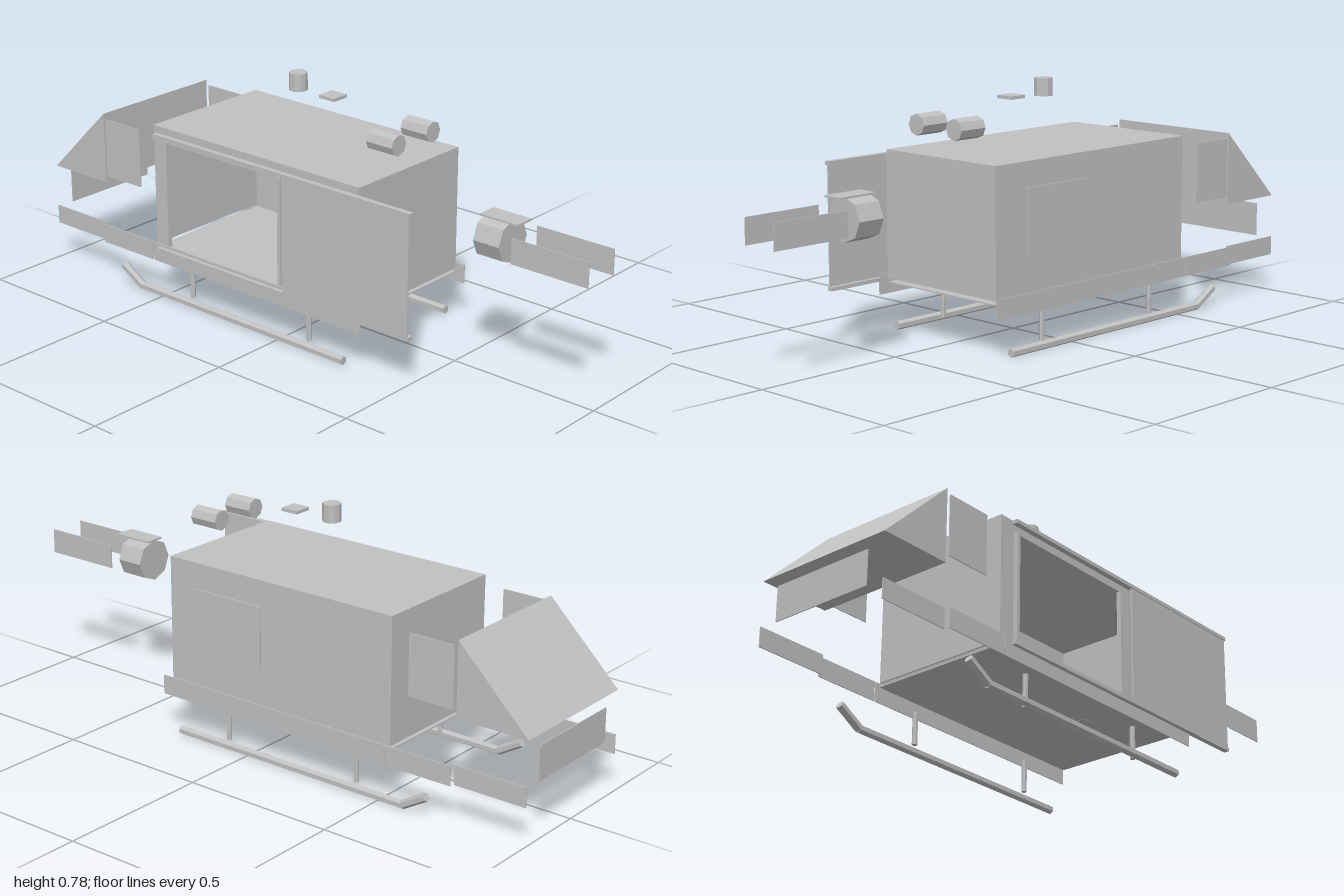
import * as THREE from 'three';

export function createModel() {
  const model = new THREE.Group();
  const grey = new THREE.MeshStandardMaterial({ color: 0xc0c0c0, flatShading: true });
  grey.name = 'plain grey';
  const CX = 0.004; // centre line of the fuselage

  function add(name, geometry) {
    const mesh = new THREE.Mesh(geometry, grey);
    mesh.name = name;
    model.add(mesh);
    return mesh;
  }

  // Box given by its lower and upper limits on each axis
  function block(name, x0, x1, y0, y1, z0, z1) {
    const g = new THREE.BoxGeometry(x1 - x0, y1 - y0, z1 - z0);
    g.translate((x0 + x1) / 2, (y0 + y1) / 2, (z0 + z1) / 2);
    return add(name, g);
  }

  // Straight rod between two points
  function rod(name, from, to, radius, sides) {
    const a = new THREE.Vector3(...from), b = new THREE.Vector3(...to);
    const dir = b.clone().sub(a);
    const mesh = add(name, new THREE.CylinderGeometry(radius, radius, dir.length(), sides));
    mesh.position.copy(a).add(b).multiplyScalar(0.5);
    mesh.quaternion.setFromUnitVectors(new THREE.Vector3(0, 1, 0), dir.normalize());
    return mesh;
  }

  // Cabin shell, with a door opening on the -x side
  const T = 0.004;
  block('floor', -0.225, 0.235, 0.161, 0.165, -0.53, 0.315);
  block('roof', -0.23, 0.235, 0.571, 0.575, -0.53, 0.315);
  block('leftWall', 0.235 - T, 0.235, 0.175, 0.571, -0.53, 0.315);
  block('tailWall', -0.226, 0.231, 0.175, 0.571, 0.311, 0.315);
  block('noseWall', -0.226, 0.231, 0.175, 0.571, -0.53, -0.526);
  block('rightWallNose', -0.23, -0.226, 0.175, 0.571, -0.53, -0.47);
  block('rightWallTail', -0.23, -0.226, 0.175, 0.571, 0.02, 0.315);
  block('rightWallTop', -0.23, -0.226, 0.545, 0.571, -0.47, 0.02);

  // Door frame
  for (const z of [-0.475, 0.005]) block('doorPost', -0.245, -0.23, 0.175, 0.535, z, z + 0.012);
  block('doorHead', -0.24, -0.23, 0.53, 0.54, -0.475, 0.017);
  block('doorSill', -0.24, -0.23, 0.175, 0.183, -0.475, 0.017);

  // Sliding door, pushed back on its rails
  block('slidingDoor', -0.262, -0.257, 0.175, 0.55, 0.04, 0.525);
  block('upperRail', -0.265, -0.247, 0.548, 0.56, -0.5, 0.53);
  block('lowerRail', -0.262, -0.244, 0.165, 0.177, -0.5, 0.53);

  // Side window
  block('sideWindow', 0.253, 0.257, 0.3, 0.5, -0.06, 0.2);

  // Equipment on the cabin floor
  block('cabinBox', -0.08, 0.005, 0.16, 0.215, 0.03, 0.09);
  block('cabinBoxRear', -0.07, 0.0, 0.165, 0.22, 0.13, 0.19);
  rod('cabinDrum', [-0.1, 0.19, 0.05], [-0.1, 0.19, 0.12], 0.03, 8);
  block('cabinPost', 0.145, 0.155, 0.163, 0.2, 0.05, 0.06);

  // Nose wedge, extruded across x from its side outline
  const outline = new THREE.Shape([
    new THREE.Vector2(0.76, 0.325),
    new THREE.Vector2(1.0, 0.325),
    new THREE.Vector2(0.76, 0.56),
  ]);
  const wedge = new THREE.ExtrudeGeometry(outline, { depth: 0.47, bevelEnabled: false });
  wedge.rotateY(Math.PI / 2);
  wedge.translate(CX - 0.235, 0, 0);
  add('noseWedge', wedge);
  block('nosePlate', -0.17, 0.178, 0.18, 0.29, -1.0, -0.997);

  for (const s of [-1, 1]) {
    // Plate standing along the side at a given distance from the centre line
    const sidePlate = (name, d, y0, y1, z0, z1) =>
      block(name, CX + s * d - 0.0015, CX + s * d + 0.0015, y0, y1, z0, z1);
    sidePlate('noseWindow', 0.236, 0.35, 0.543, -0.75, -0.595);
    sidePlate('lowerPanel', 0.251, 0.123, 0.185, -0.528, 0.335);
    sidePlate('lowerPanelMiddle', 0.251, 0.123, 0.185, -0.757, -0.532);
    sidePlate('lowerPanelNose', 0.235, 0.123, 0.185, -1.0, -0.76);
    sidePlate('tailBoomPlate', 0.062, 0.4, 0.48, 0.735, 1.0);

    // Skid with a raised tip, and its struts
    const x = CX + s * 0.247;
    rod('skid', [x, 0.015, 0.268], [x, 0.015, -0.595], 0.014, 6);
    rod('skidTip', [x, 0.015, -0.59], [x, 0.063, -0.672], 0.014, 6);
    for (const z of [0.1, -0.395]) {
      rod('skidStrut', [CX + s * 0.213, 0.018, z], [CX + s * 0.213, 0.122, z], 0.0085, 6);
    }

    // Engine drum
    rod('engine', [CX + s * 0.08, 0.667, 0.237], [CX + s * 0.08, 0.667, 0.335], 0.033, 8);
  }

  // Tail drum and cover plate
  rod('tailDrum', [CX, 0.44, 0.603], [CX, 0.44, 0.695], 0.068, 8);
  block('tailCover', -0.03, 0.036, 0.505, 0.511, 0.6, 0.735);

  // Rotor mast and roof hatch
  rod('rotorMast', [CX, 0.72, -0.13], [CX, 0.776, -0.13], 0.029, 10);
  block('roofHatch', -0.027, 0.033, 0.724, 0.734, -0.018, 0.042);

  return model;
}
